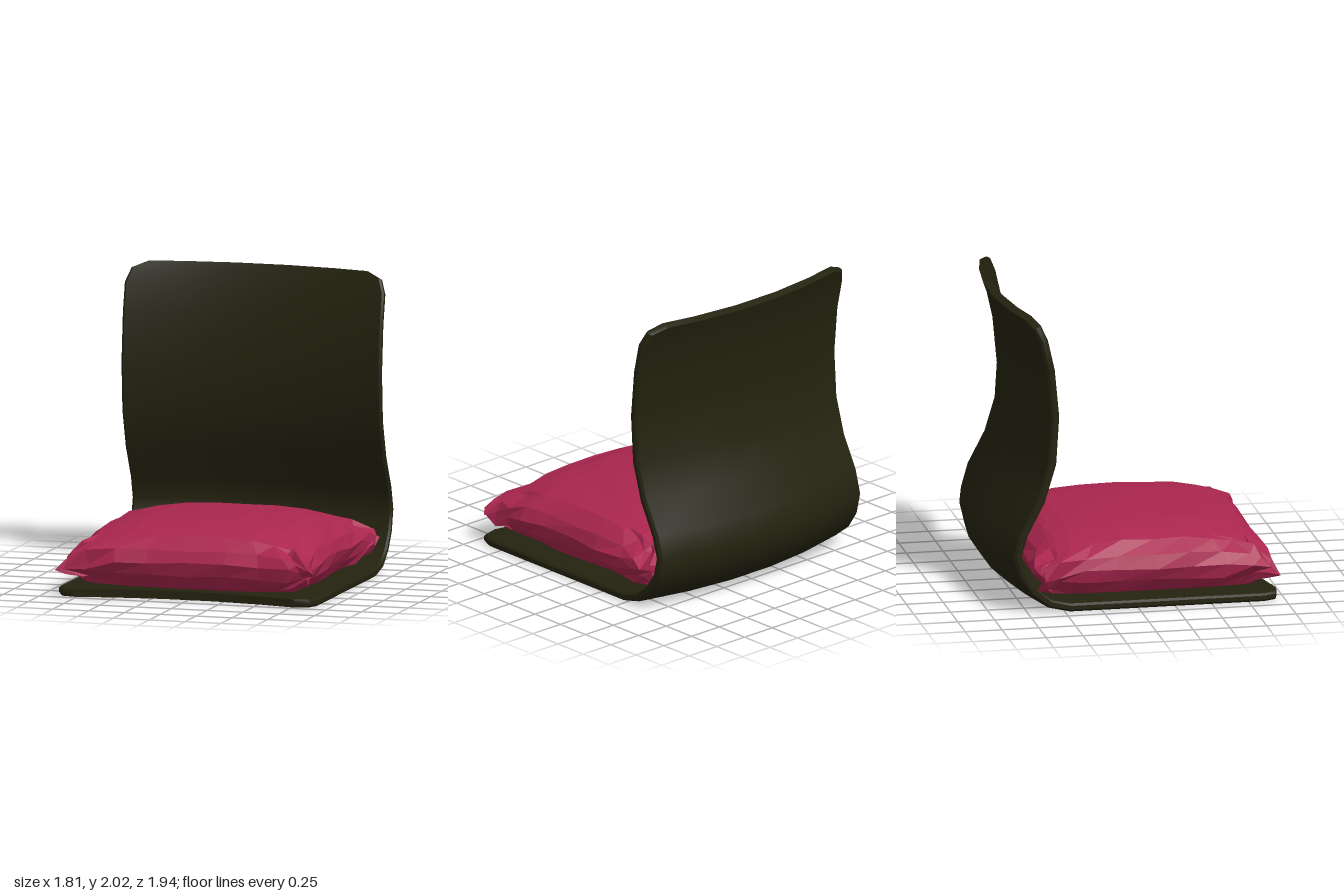
import * as THREE from 'three';
import { toCreasedNormals } from 'three/addons/utils/BufferGeometryUtils.js';

const shellMat = new THREE.MeshStandardMaterial({ color: 0x24220f });
const cushionMat = new THREE.MeshStandardMaterial({ color: 0xaa264f });
shellMat.name = 'darkOliveShell';
cushionMat.name = 'crimsonFabric';

// Underside profile of the bent shell at its side edge: [z, y, half width]
const PROFILE = [
  [1.0, 0, 0.77], [0.95, 0, 0.87], [0.86, 0, 0.905], [0.2, 0, 0.905], [-0.46, 0, 0.905],
  [-0.61, 0.035, 0.905], [-0.73, 0.13, 0.905], [-0.81, 0.25, 0.905], [-0.845, 0.4, 0.905],
  [-0.8, 0.56, 0.905], [-0.685, 0.78, 0.905], [-0.61, 1.03, 0.905], [-0.59, 1.35, 0.905],
  [-0.62, 1.67, 0.905], [-0.665, 1.87, 0.905], [-0.695, 1.96, 0.87], [-0.71, 2.0, 0.77],
];
const THICK = 0.055, BEVEL = 0.014;

// The whole shell bows backwards towards its middle
const bow = (x) => -0.135 * (1 - (x / 0.905) ** 2);

function shellGeometry() {
  const pos = [], idx = [], rows = PROFILE.length, n = 16;
  PROFILE.forEach(([z, y, w], j) => {
    const a = PROFILE[Math.max(j - 1, 0)], b = PROFILE[Math.min(j + 1, rows - 1)];
    const len = Math.hypot(b[0] - a[0], b[1] - a[1]);
    const nz = (b[1] - a[1]) / len, ny = -(b[0] - a[0]) / len;
    // Cross-section: upper face left to right, then lower face back
    const xs = [-w, -(w - BEVEL), -0.52, -0.18, 0.18, 0.52, w - BEVEL, w];
    const put = (x, h) => pos.push(x, y + ny * h, z + nz * h + bow(x));
    xs.forEach((x, k) => put(x, k % 7 === 0 ? THICK - BEVEL : THICK));
    xs.reverse().forEach((x, k) => put(x, k % 7 === 0 ? BEVEL : 0));
  });
  const quad = (a, b, c, d) => idx.push(a, b, c, a, c, d);
  for (let j = 0; j < rows - 1; j++) {
    for (let k = 0; k < n; k++) {
      const k2 = (k + 1) % n;
      quad(j * n + k, j * n + k2, (j + 1) * n + k2, (j + 1) * n + k);
    }
  }
  // Front rim and top rim
  const e = (rows - 1) * n;
  for (let k = 0; k < 7; k++) {
    quad(k, 15 - k, 14 - k, k + 1);
    quad(e + k, e + k + 1, e + 14 - k, e + 15 - k);
  }
  const g = new THREE.BufferGeometry();
  g.setAttribute('position', new THREE.Float32BufferAttribute(pos, 3));
  g.setIndex(idx);
  return toCreasedNormals(g, 0.6);
}

// Repeatable noise in -1..1; equal input points give equal offsets
function noise(x, y, z, seed) {
  const s = Math.sin(x * 127.1 + y * 311.7 + z * 74.7 + seed * 53.3) * 43758.5453;
  return (s - Math.floor(s)) * 2 - 1;
}

// Plump pillow with puckered corners and creased sides
function cushionGeometry() {
  const g = new THREE.BoxGeometry(2, 2, 2, 10, 4, 10);
  const p = g.attributes.position;
  const round = (v) => Math.round(v * 100) / 100;
  for (let i = 0; i < p.count; i++) {
    const a = round(p.getX(i)), h = round(p.getY(i)), c = round(p.getZ(i));
    const u = Math.sin(a * Math.PI / 2), v = Math.sin(c * Math.PI / 2);
    const corner = (u * v) ** 4;
    const rim = Math.max(Math.abs(a), Math.abs(c)) > 0.99 ? 1 : 0;
    // Height of the upper and lower skins
    const top = 0.49 - 0.055 * (u ** 4 + v ** 4) - 0.03 * (u * u + v * v) * 0.5 - 0.03 * corner;
    const bottom = 0.062 + 0.02 * rim + 0.03 * corner;
    const y = bottom + (top - bottom) * (h + 1) / 2;
    // Sides bulge at mid height and corners poke outwards
    const bulge = h > 0 ? 1 - 0.16 * h * h : 1 - 0.12 * h * h;
    const sx = (0.83 + 0.045 * v ** 4) * bulge;
    const sz = (0.79 + 0.025 * u ** 4) * bulge;
    // Wrinkles, strongest at the corners
    const amp = rim * (0.014 + 0.04 * corner) * (Math.abs(h) > 0.9 ? 0.7 : 1);
    const soft = h > 0.9 && !rim ? 0.004 : 0;
    p.setXYZ(i,
      THREE.MathUtils.clamp(u * sx + noise(a, h, c, 1) * amp, -0.91, 0.91),
      Math.max(0.06, y + noise(a, h, c, 2) * (amp * 0.8 + soft)),
      THREE.MathUtils.clamp(0.135 + v * sz + noise(a, h, c, 3) * amp, -0.69, 0.965));
  }
  const flat = g.toNonIndexed();
  flat.computeVertexNormals();
  return flat;
}

export function createModel() {
  const model = new THREE.Group();
  model.name = 'floorChair';
  const shell = new THREE.Mesh(shellGeometry(), shellMat);
  shell.name = 'bentShell';
  const cushion = new THREE.Mesh(cushionGeometry(), cushionMat);
  cushion.name = 'seatCushion';
  model.add(shell, cushion);
  return model;
}
